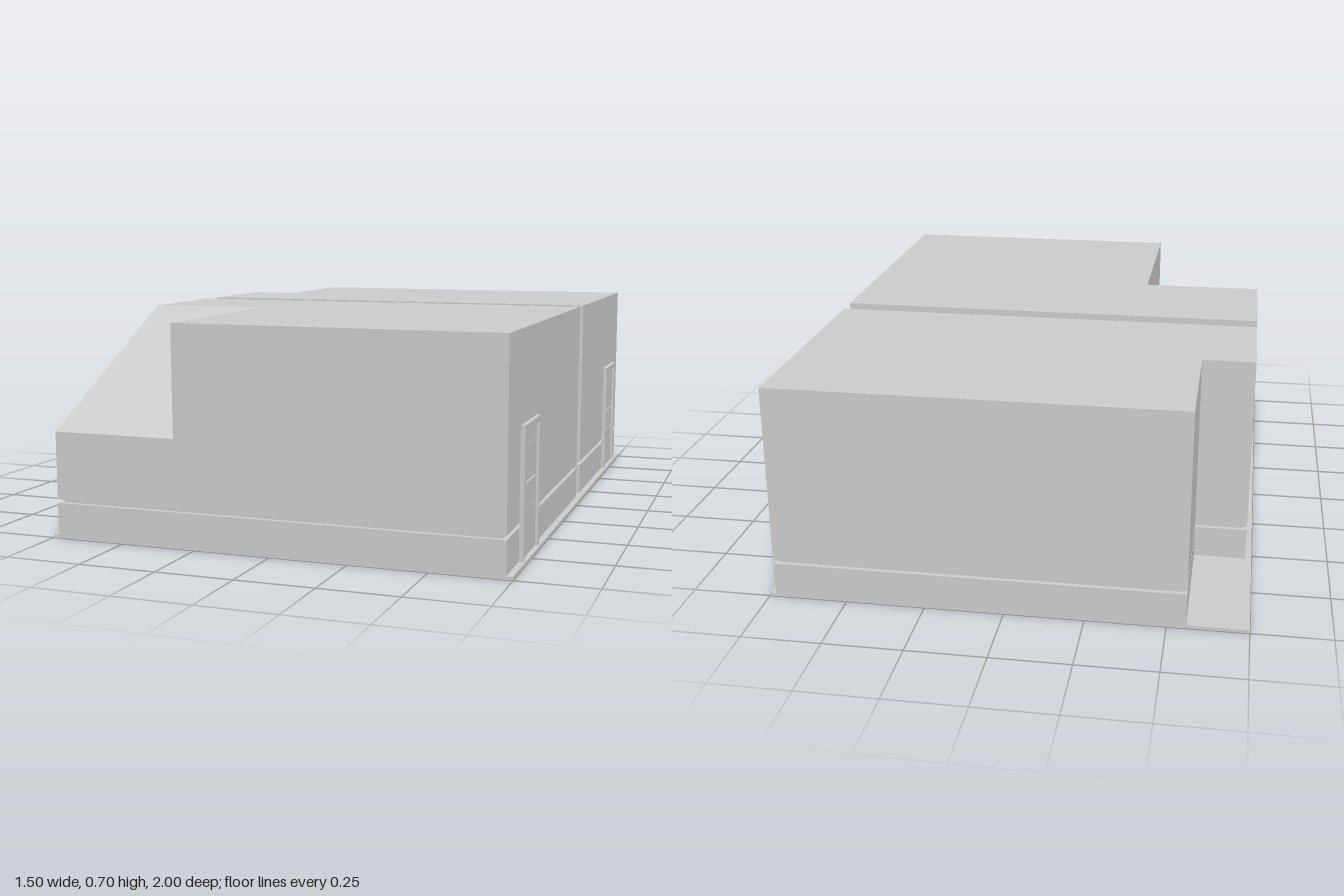
import * as THREE from 'three';

const grey = new THREE.MeshStandardMaterial({ color: 0xcccccc, flatShading: true });

function add(parent, name, geometry) {
  const mesh = new THREE.Mesh(geometry, grey);
  mesh.name = name;
  parent.add(mesh);
  return mesh;
}

// Box given by its lower and upper corners
function box(parent, name, [x0, y0, z0], [x1, y1, z1]) {
  const mesh = add(parent, name, new THREE.BoxGeometry(x1 - x0, y1 - y0, z1 - z0));
  mesh.position.set((x0 + x1) / 2, (y0 + y1) / 2, (z0 + z1) / 2);
  return mesh;
}

// Upright prism over a floor plan of [x, z] points
function prism(parent, name, plan, y0, y1) {
  const shape = new THREE.Shape(plan.map(([x, z]) => new THREE.Vector2(x, z)));
  const geometry = new THREE.ExtrudeGeometry(shape, { depth: y1 - y0, bevelEnabled: false });
  geometry.rotateX(Math.PI / 2).translate(0, y1, 0);
  return add(parent, name, geometry);
}

const W = 0.73, TOP = 0.7, BASE = 0.011, GROOVE = [0.115, 0.128], INSET = 0.015;

// Floor plans, shrunk by i for the shadow groove
const frontPlan = (i) => [
  [-W + i, -0.095 + i], [W - i, -0.095 + i], [W - i, 1 - i], [-W + i, 1 - i],
];
const backPlan = (i) => [
  [-0.56 + i, -1 + i], [W - i, -1 + i], [W - i, -0.165 - i],
  [-W + i, -0.165 - i], [-W + i, -0.54 + i], [-0.56 + i, -0.54 + i],
];

// Plinth and recessed groove shared by both blocks
function lowerWalls(parent, plan) {
  prism(parent, 'plinth', plan(0), BASE, GROOVE[0]);
  prism(parent, 'shadowGroove', plan(INSET), GROOVE[0], GROOVE[1]);
}

// Door on the +x wall, centred on z = 0
function makeDoor() {
  const door = new THREE.Group();
  door.name = 'door';
  const h = 0.11, t = 0.018, top = 0.418, out = 0.744, leaf = 0.735;
  for (const s of [-1, 1]) {
    const a = s * h, b = s * (h - t);
    box(door, 'doorJamb', [W, BASE, Math.min(a, b)], [out, top, Math.max(a, b)]);
  }
  box(door, 'doorHead', [W, top - t, -h + t], [out, top, h - t]);
  box(door, 'doorLeaf', [W, BASE, -h + t], [leaf, top - t, h - t]);
  // Raised panels and the bar handle
  for (const [y0, y1] of [[0.055, 0.162], [0.25, 0.352]]) {
    box(door, 'doorPanel', [leaf, y0, -0.062], [leaf + 0.002, y1, 0.062]);
  }
  box(door, 'doorHandle', [leaf, 0.232, -0.062], [leaf + 0.006, 0.24, 0.062]);
  return door;
}

export function createModel() {
  const model = new THREE.Group();
  model.name = 'building';

  box(model, 'baseSlab', [-0.75, 0, -1], [0.75, BASE, 1]);

  // Front block, with a sloping roof cut into its front right corner
  const front = new THREE.Group();
  front.name = 'frontBlock';
  lowerWalls(front, frontPlan);
  const cutX = -0.315;
  box(front, 'frontUpperWalls', [cutX, GROOVE[1], -0.095], [W, TOP, 1]);
  const profile = new THREE.Shape([
    [0.095, GROOVE[1]], [0.095, TOP], [-0.32, TOP], [-1, 0.345], [-1, GROOVE[1]],
  ].map(([z, y]) => new THREE.Vector2(z, y)));
  const wing = new THREE.ExtrudeGeometry(profile, { depth: cutX + W, bevelEnabled: false });
  wing.rotateY(Math.PI / 2).translate(-W, 0, 0);
  add(front, 'slopedRoofWing', wing);
  model.add(front);

  // Back block, with a full-height notch in its back right corner
  const back = new THREE.Group();
  back.name = 'backBlock';
  lowerWalls(back, backPlan);
  prism(back, 'backUpperWalls', backPlan(0), GROOVE[1], TOP);
  model.add(back);

  // One door to each block
  for (const z of [0.73, -0.77]) {
    const door = makeDoor();
    door.position.z = z;
    model.add(door);
  }
  return model;
}
